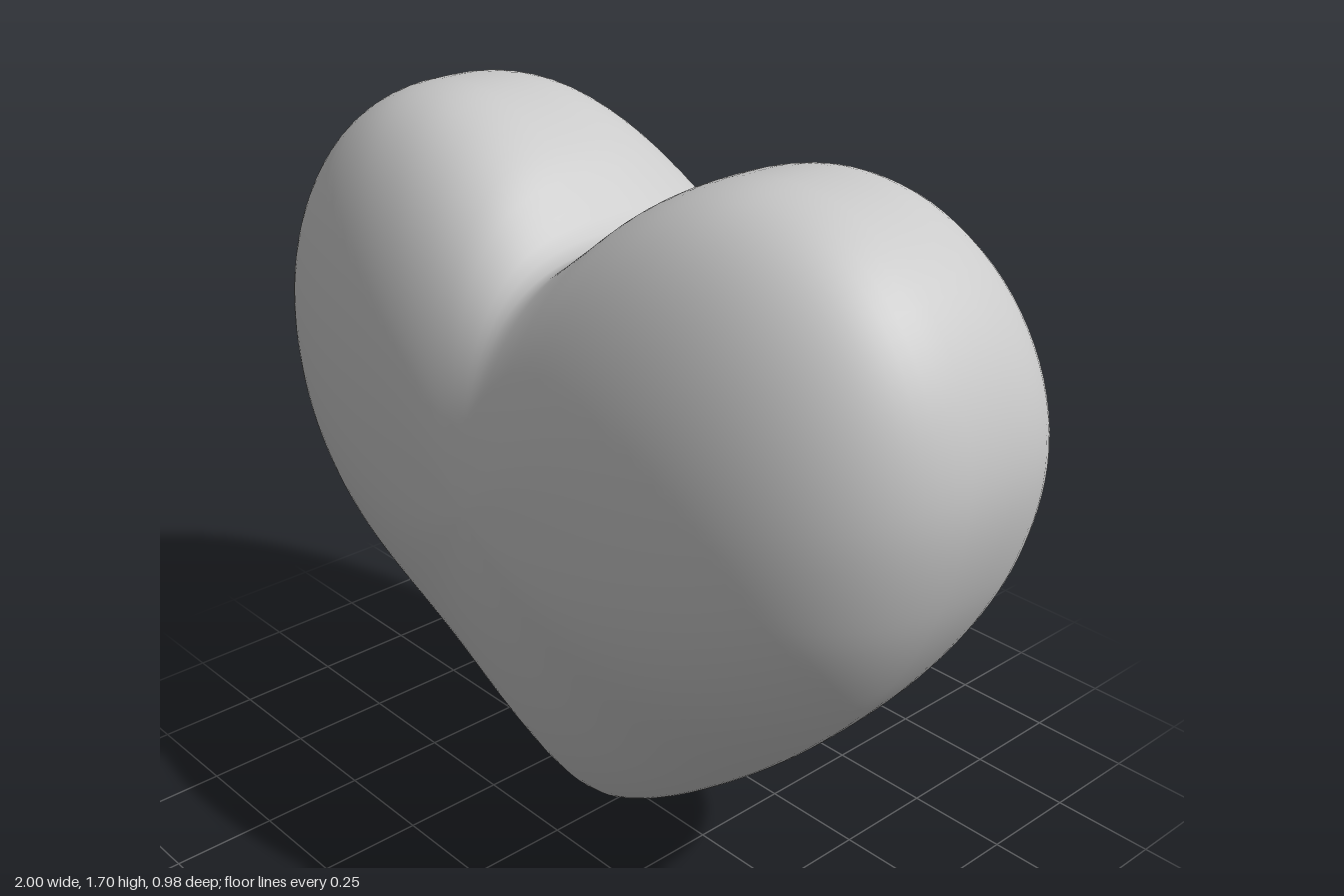
import * as THREE from 'three';
import { mergeVertices } from 'three/addons/utils/BufferGeometryUtils.js';

const N = 160;         // points around the outline
const RINGS = 64;      // rings from front pole to back pole
const CY = 0.95;       // height of the fullest point
const DEPTH = 0.49;    // half thickness

// Right half of the heart outline, from the cleft round to the tip
const HALF = [
  [0, 1.454], [0.03, 1.463], [0.1, 1.523], [0.2, 1.606], [0.34, 1.676], [0.5, 1.705],
  [0.68, 1.675], [0.85, 1.565], [0.96, 1.4], [1, 1.2], [0.95, 0.95], [0.82, 0.7],
  [0.6, 0.44], [0.3, 0.176], [0.1, 0.04], [0, 0],
];

function heartOutline() {
  const mirrored = HALF.slice(1, -1).reverse().map(([x, y]) => [-x, y]);
  const points = [...HALF, ...mirrored].map(([x, y]) => new THREE.Vector3(x, y - CY, 0));
  return new THREE.CatmullRomCurve3(points, true, 'centripetal').getSpacedPoints(N).slice(0, N);
}

// Softened outline, so cleft and tip fade towards the middle of each face
function soften(outline, reach) {
  return outline.map((_, i) => {
    const sum = new THREE.Vector3();
    let total = 0;
    for (let k = -reach; k <= reach; k++) {
      const w = 1 + Math.cos((Math.PI * k) / (reach + 1));
      sum.addScaledVector(outline[(i + k + N) % N], w);
      total += w;
    }
    return sum.divideScalar(total);
  });
}

// Puffed profile: boxy at the flanks, rounder over the lobes, slimmer at the tip
function profile(direction, s) {
  const v = direction.y / direction.length();
  const power = 1.7 + 1.6 * (1 - v * v) ** 2;
  const root = THREE.MathUtils.lerp(0.36, 0.56, Math.max(0, -v) ** 1.5);
  return DEPTH * Math.max(0, 1 - s ** power) ** root;
}

function heartGeometry() {
  const outline = heartOutline();
  const soft = soften(outline, 18);
  const positions = [], indices = [];
  const p = new THREE.Vector3();
  for (let j = 0; j <= RINGS; j++) {
    const pole = j === 0 || j === RINGS;
    const s = pole ? 0 : Math.sin((Math.PI * j) / RINGS);
    const side = j * 2 < RINGS ? 1 : -1;
    for (let i = 0; i < N; i++) {
      p.lerpVectors(soft[i], outline[i], s * s).multiplyScalar(s);
      positions.push(p.x, p.y + CY, side * profile(outline[i], s));
      if (j === RINGS) continue;
      const next = (i + 1) % N;
      const a = j * N + i, b = j * N + next, c = a + N, d = b + N;
      if (j > 0) indices.push(a, b, d);
      if (j < RINGS - 1) indices.push(a, d, c);
    }
  }
  const geometry = new THREE.BufferGeometry();
  geometry.setAttribute('position', new THREE.Float32BufferAttribute(positions, 3));
  geometry.setIndex(indices);
  const merged = mergeVertices(geometry, 1e-5);
  merged.computeVertexNormals();
  return merged;
}

export function createModel() {
  const group = new THREE.Group();
  group.name = 'heart';
  const grey = new THREE.MeshStandardMaterial({ color: 0xcacaca });
  grey.name = 'grey';
  const body = new THREE.Mesh(heartGeometry(), grey);
  body.name = 'heartBody';
  group.add(body);
  return group;
}
